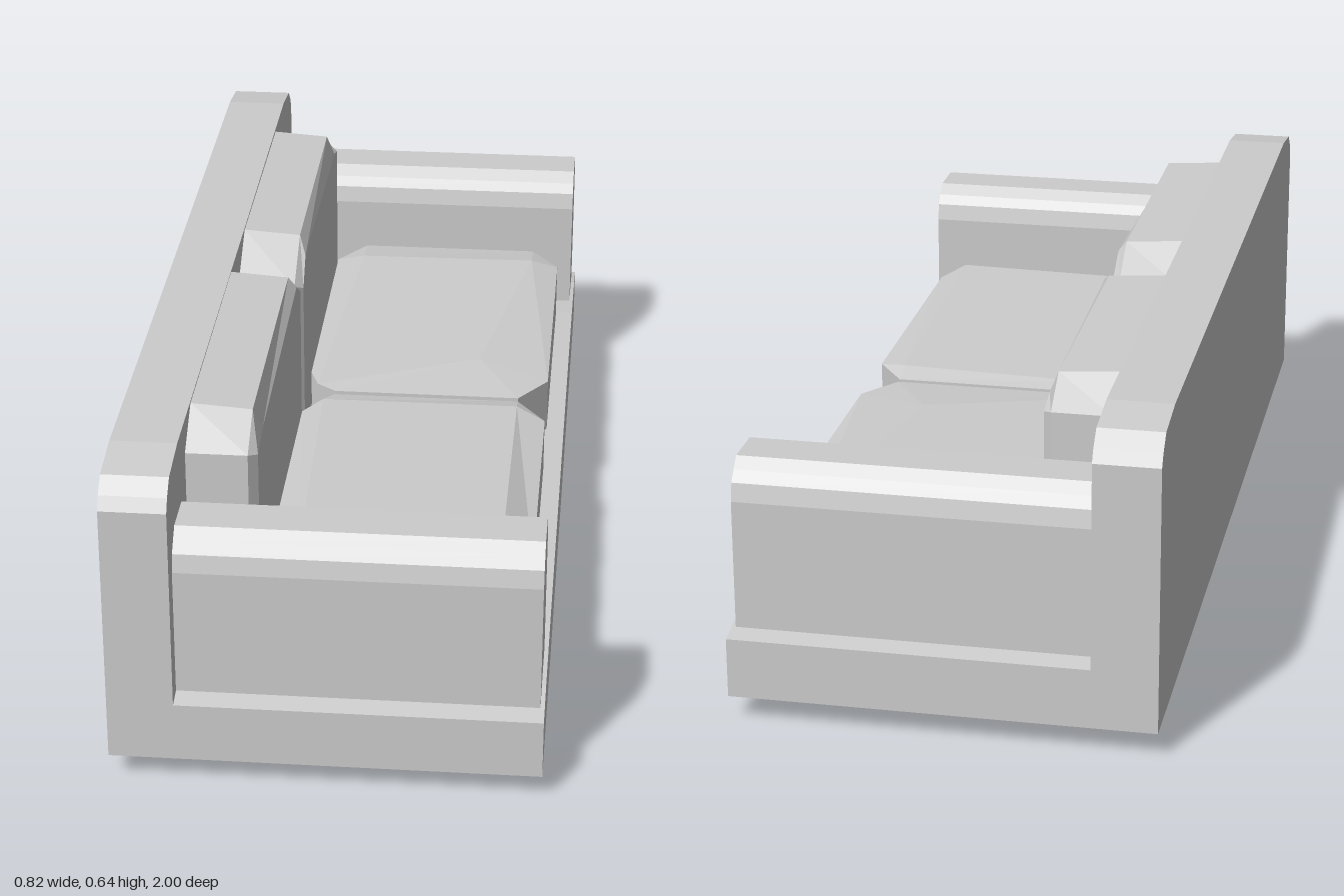
import * as THREE from 'three';

const fabric = new THREE.MeshStandardMaterial({ color: 0xcccccc, flatShading: true, side: THREE.DoubleSide });
fabric.name = 'grey fabric';
const legPaint = new THREE.MeshStandardMaterial({ color: 0x222222, flatShading: true });
legPaint.name = 'black legs';

function addMesh(group, name, geometry, material = fabric) {
  const mesh = new THREE.Mesh(geometry, material);
  mesh.name = name;
  group.add(mesh);
  return mesh;
}

// Extrudes a [z, y] profile along x from x0 to x1
function extrudeAlongX(profile, x0, x1) {
  const shape = new THREE.Shape(profile.map(([z, y]) => new THREE.Vector2(-z, y)));
  return new THREE.ExtrudeGeometry(shape, { depth: x1 - x0, bevelEnabled: false })
    .rotateY(Math.PI / 2).translate(x0, 0, 0);
}

// Completes half a [z, y] profile (bottom to top, z > 0) with its mirror image
const mirrored = (half) => [...half, ...half.map(([z, y]) => [-z, y]).reverse()];

// Skins rings of equal length and caps both ends
function loft(rings) {
  const pos = [];
  const tri = (a, b, c) => pos.push(...a, ...b, ...c);
  const n = rings[0].length;
  for (let i = 0; i < rings.length - 1; i++) {
    for (let j = 0; j < n; j++) {
      const k = (j + 1) % n;
      tri(rings[i][j], rings[i][k], rings[i + 1][k]);
      tri(rings[i][j], rings[i + 1][k], rings[i + 1][j]);
    }
  }
  const first = rings[0], last = rings[rings.length - 1];
  for (let j = 1; j < n - 1; j++) {
    tri(first[0], first[j + 1], first[j]);
    tri(last[0], last[j], last[j + 1]);
  }
  const geometry = new THREE.BufferGeometry();
  geometry.setAttribute('position', new THREE.Float32BufferAttribute(pos, 3));
  geometry.computeVertexNormals();
  return geometry;
}

// Octagonal cushion with a softly uneven crown given by four corner points
function seatCushion(z0, z1, crown) {
  const x0 = -0.14, x1 = 0.37, cx = 0.06, cz = 0.085;
  const ring = (y) => [
    [x1, y, z0 + cz], [x1 - cx, y, z0], [x0 + cx, y, z0], [x0, y, z0 + cz],
    [x0, y, z1 - cz], [x0 + cx, y, z1], [x1 - cx, y, z1], [x1, y, z1 - cz],
  ];
  return loft([ring(0.19), ring(0.32), crown.flatMap((p) => [p, p])]);
}

// Upright cushion with clipped top corners and a bevelled front
function backCushion(outline, frontTop) {
  const z1 = outline[3][0], z0 = outline[0][0];
  const ring = (x, top, inset, lift) => [
    [x, 0.19, z1 - inset], [x, 0.19, z0 + inset],
    ...top.map(([z, y], i) => [x, y + (i === 1 || i === 2 ? lift : 0), z]),
  ];
  return loft([ring(-0.283, outline, 0, 0.005), ring(-0.165, outline, 0, -0.003), ring(-0.148, frontTop, 0.02, 0)]);
}

export function createModel() {
  const sofa = new THREE.Group();
  sofa.name = 'sofa';

  // Frame: slightly arched base and round-shouldered backrest
  addMesh(sofa, 'base', extrudeAlongX(
    mirrored([[1, 0.05], [1, 0.168], [0.9, 0.187], [0.7, 0.2], [0.45, 0.206]]), -0.283, 0.407));
  addMesh(sofa, 'backrest', extrudeAlongX(
    mirrored([[1, 0.05], [1, 0.575], [0.985, 0.6], [0.955, 0.627], [0.85, 0.641]]), -0.409, -0.283));

  // Armrests with rounded tops
  const arm = [[0.96, 0.16], [0.96, 0.43], [0.952, 0.465], [0.935, 0.485], [0.915, 0.505],
    [0.825, 0.505], [0.8, 0.485], [0.785, 0.465], [0.777, 0.43], [0.777, 0.16]];
  for (const [side, name] of [[1, 'armrestNear'], [-1, 'armrestFar']]) {
    addMesh(sofa, name, extrudeAlongX(arm.map(([z, y]) => [z * side, y]), -0.283, 0.399));
  }

  // Seat cushions
  addMesh(sofa, 'seatCushionNear', seatCushion(0.0, 0.762,
    [[0.31, 0.334, 0.05], [-0.1, 0.328, 0.04], [-0.08, 0.35, 0.67], [0.31, 0.357, 0.67]]));
  addMesh(sofa, 'seatCushionFar', seatCushion(-0.775, -0.015,
    [[0.31, 0.335, -0.69], [-0.08, 0.332, -0.69], [-0.12, 0.323, -0.04], [0.22, 0.333, -0.17]]));

  // Back cushions: outlines run from low z to high z
  addMesh(sofa, 'backCushionNear', backCushion(
    [[0.003, 0.575], [0.09, 0.634], [0.68, 0.632], [0.765, 0.575]],
    [[0.023, 0.57], [0.09, 0.61], [0.67, 0.585], [0.745, 0.568]]));
  addMesh(sofa, 'backCushionFar', backCushion(
    [[-0.768, 0.575], [-0.69, 0.63], [-0.13, 0.632], [-0.015, 0.56]],
    [[-0.748, 0.568], [-0.69, 0.585], [-0.08, 0.605], [-0.035, 0.55]]));

  // Tapered legs
  for (const x of [-0.341, 0.317]) {
    for (const z of [-0.863, 0.863]) {
      addMesh(sofa, 'leg', new THREE.CylinderGeometry(0.021, 0.011, 0.05, 10), legPaint).position.set(x, 0.025, z);
    }
  }
  return sofa;
}
